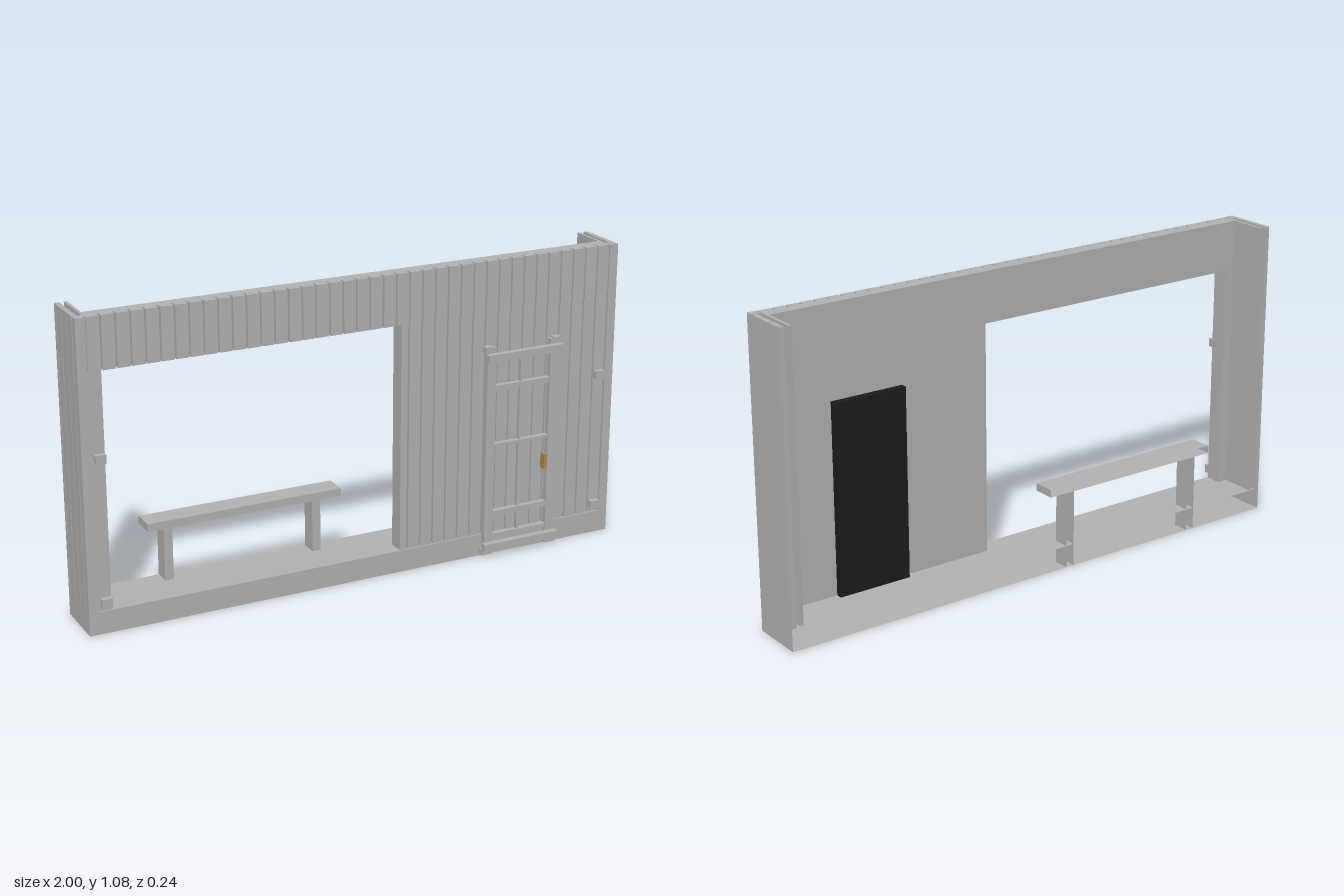
import * as THREE from 'three';

export function createModel() {
  const root = new THREE.Group();
  const grey = new THREE.MeshStandardMaterial({ color: 0xb4b4b4, side: THREE.DoubleSide });
  grey.name = 'grey timber';
  const black = new THREE.MeshStandardMaterial({ color: 0x1c1c1c });
  black.name = 'black door';
  const brass = new THREE.MeshStandardMaterial({ color: 0xad8d52 });
  brass.name = 'brass';

  // Box given by its limits; open boxes lose their back (-z) face
  function box(parent, name, x0, x1, y0, y1, z0, z1, mat = grey, open = false) {
    const g = new THREE.BoxGeometry(x1 - x0, y1 - y0, z1 - z0);
    g.translate((x0 + x1) / 2, (y0 + y1) / 2, (z0 + z1) / 2);
    if (open) {
      g.setIndex(Array.from(g.index.array).slice(0, 30));
      g.clearGroups();
    }
    const m = new THREE.Mesh(g, mat);
    m.name = name;
    parent.add(m);
    return m;
  }
  function group(name) {
    const g = new THREE.Group();
    g.name = name;
    root.add(g);
    return g;
  }

  const BACK = -0.12, FRONT = 0.075, FLOOR = 0.08, TOP = 1.08, LINTEL = 0.9;
  const OPEN_L = -0.92, OPEN_R = 0.145, EDGE = 0.967;

  // Hollow floor base, open at the back
  box(root, 'base', -1, 1, 0, FLOOR, BACK, FRONT, grey, true);

  // Front wall sheet around the large opening
  const s = new THREE.Shape();
  s.moveTo(-EDGE, FLOOR);
  s.lineTo(OPEN_L, FLOOR);
  s.lineTo(OPEN_L, LINTEL);
  s.lineTo(OPEN_R, LINTEL);
  s.lineTo(OPEN_R, FLOOR);
  s.lineTo(EDGE, FLOOR);
  s.lineTo(EDGE, TOP);
  s.lineTo(-EDGE, TOP);
  s.closePath();
  const wallGeo = new THREE.ExtrudeGeometry(s, { depth: 0.037, bevelEnabled: false });
  wallGeo.translate(0, 0, 0.013);
  const wall = new THREE.Mesh(wallGeo, grey);
  wall.name = 'frontWall';
  root.add(wall);

  // Vertical cladding: fascia row on top, full boards beside the opening
  const cladding = group('frontCladding');
  const n = 39, pitch = 2 * EDGE / n, gap = 0.003;
  for (let i = 0; i < n; i++) {
    const x0 = -EDGE + i * pitch + gap, x1 = -EDGE + (i + 1) * pitch - gap;
    box(cladding, 'fasciaBoard', x0, x1, LINTEL, TOP, 0.05, 0.073);
    if (x1 > OPEN_R + 0.01) {
      box(cladding, 'wallBoard', Math.max(x0, OPEN_R), x1, FLOOR, LINTEL, 0.05, 0.07);
    }
  }
  box(cladding, 'openingPost', -EDGE, OPEN_L, FLOOR, LINTEL, 0.05, 0.07);

  // Side walls: corner post, outer boards, inner panel
  const boards = [[-0.003, 0.041], [-0.053, -0.007], [-0.103, -0.057], [BACK, -0.107]];
  for (const side of [1, -1]) {
    const g = group(side > 0 ? 'leftSide' : 'rightSide');
    const span = (a, b) => (side > 0 ? [a, b] : [-b, -a]);
    box(g, 'cornerPost', ...span(EDGE, 1), FLOOR, TOP, 0.045, FRONT);
    for (const [z0, z1] of boards) {
      box(g, 'sideBoard', ...span(0.982, 1), FLOOR, TOP, z0, z1);
    }
    box(g, 'innerPanel', ...span(0.957, EDGE), FLOOR, TOP, BACK, 0.013, grey, true);
    for (const y of [0.097, 0.595]) {
      box(g, 'bracket', ...span(0.922, 0.958), y, y + 0.03, 0.07, 0.09);
    }
  }

  // Bench, cut off at the back
  const bench = group('bench');
  box(bench, 'seat', -0.745, -0.03, 0.278, 0.306, BACK, -0.037, grey, true);
  for (const x of [-0.68, -0.13]) {
    box(bench, 'leg', x, x + 0.031, 0, 0.278, BACK, -0.06, grey, true);
  }

  // Door: dark slab behind, frame in front
  const door = group('door');
  box(door, 'doorSlab', 0.48, 0.75, FLOOR, 0.755, -0.01, 0.013, black);
  for (const [a, b] of [[0.472, 0.507], [0.726, 0.761]]) {
    box(door, 'stile', a, b, 0.005, 0.775, 0.07, 0.092);
  }
  for (const [a, b] of [[0.615, 0.635], [0.41, 0.42], [0.145, 0.167], [0.064, 0.08]]) {
    box(door, 'rail', 0.505, 0.728, a, b, 0.07, 0.09);
  }
  box(door, 'mullion', 0.609, 0.617, 0.06, 0.735, 0.07, 0.084);
  for (const [a, b] of [[0.73, 0.757], [0.027, 0.053]]) {
    box(door, 'crossBar', 0.464, 0.766, a, b, 0.09, 0.115);
  }
  for (const x of [0.464, 0.736]) {
    box(door, 'topNub', x, x + 0.03, 0.757, 0.78, 0.07, 0.093);
    box(door, 'bottomNub', x, x + 0.03, 0.005, 0.027, 0.07, 0.093);
  }
  box(door, 'handle', 0.694, 0.706, 0.305, 0.36, 0.097, 0.122, brass);

  return root;
}
